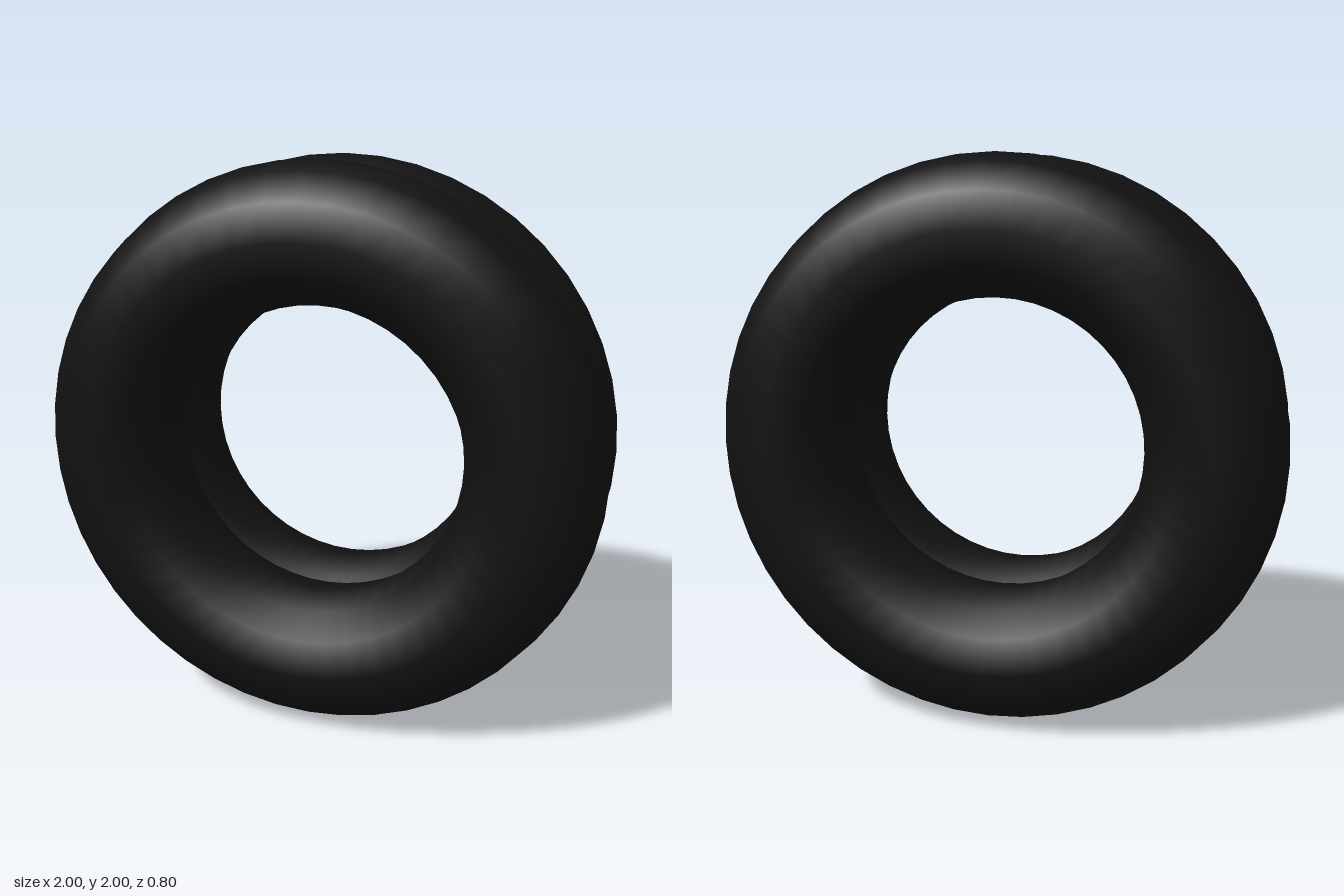
import * as THREE from 'three';

export function createModel() {
  const model = new THREE.Group();
  model.name = 'doubleTire';
  const rubber = new THREE.MeshStandardMaterial({ color: 0x111111 });
  const ringGeometry = new THREE.TorusGeometry(0.76, 0.24, 12, 48);

  // Two overlapping rings side by side, leaving a groove between them
  for (const [name, z] of [['frontRing', 0.16], ['backRing', -0.16]]) {
    const ring = new THREE.Mesh(ringGeometry, rubber);
    ring.name = name;
    ring.position.set(0, 1, z);
    model.add(ring);
  }
  return model;
}
